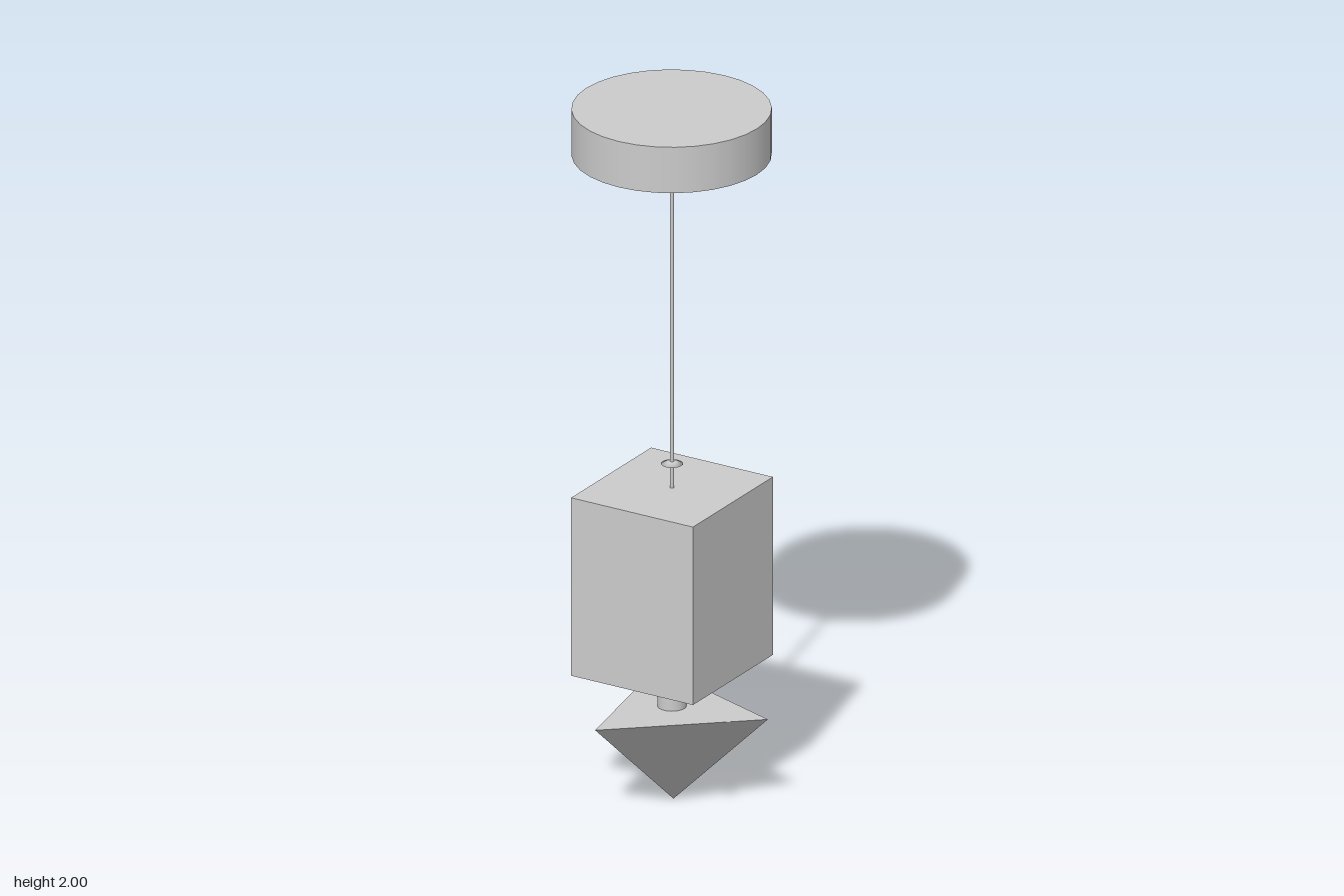
import * as THREE from 'three';

const grey = new THREE.MeshStandardMaterial({ color: 0xcccccc });

export function createModel() {
  const group = new THREE.Group();
  group.name = 'pendantLamp';

  const add = (name, geometry, x, y, z = 0) => {
    const mesh = new THREE.Mesh(geometry, grey);
    mesh.name = name;
    mesh.position.set(x, y, z);
    group.add(mesh);
    return mesh;
  };
  // Vertical round part between two heights
  const round = (name, rTop, rBottom, y0, y1, sides, z = 0) =>
    add(name, new THREE.CylinderGeometry(rTop, rBottom, y1 - y0, sides), 0, (y0 + y1) / 2, z);

  // Ceiling mount, cord grip and cord
  round('ceilingCanopy', 0.268, 0.268, 1.867, 2, 32, -0.005);
  round('cordGrip', 0.038, 0.004, 1.81, 1.867, 24);
  round('cord', 0.006, 0.006, 0.9, 1.83, 12);

  // Thin lens-shaped washer on the cord
  const washer = [[0, -0.008], [0.012, -0.007], [0.03, 0], [0.012, 0.007], [0, 0.008]];
  add('cordWasher',
    new THREE.LatheGeometry(washer.map(([r, y]) => new THREE.Vector2(r, y)), 24), 0, 0.972);

  // Box shade, turned corner to the front
  const shade = add('boxShade', new THREE.BoxGeometry(0.406, 0.516, 0.383), 0, 0.645);
  shade.rotation.y = Math.PI / 4;

  // Short neck and inverted three-sided pyramid
  round('neck', 0.039, 0.039, 0.265, 0.39, 24);
  add('pyramidTip',
    new THREE.CylinderGeometry(0.27, 0, 0.27, 3, 1, false, THREE.MathUtils.degToRad(56)),
    0.004, 0.135);

  return group;
}
